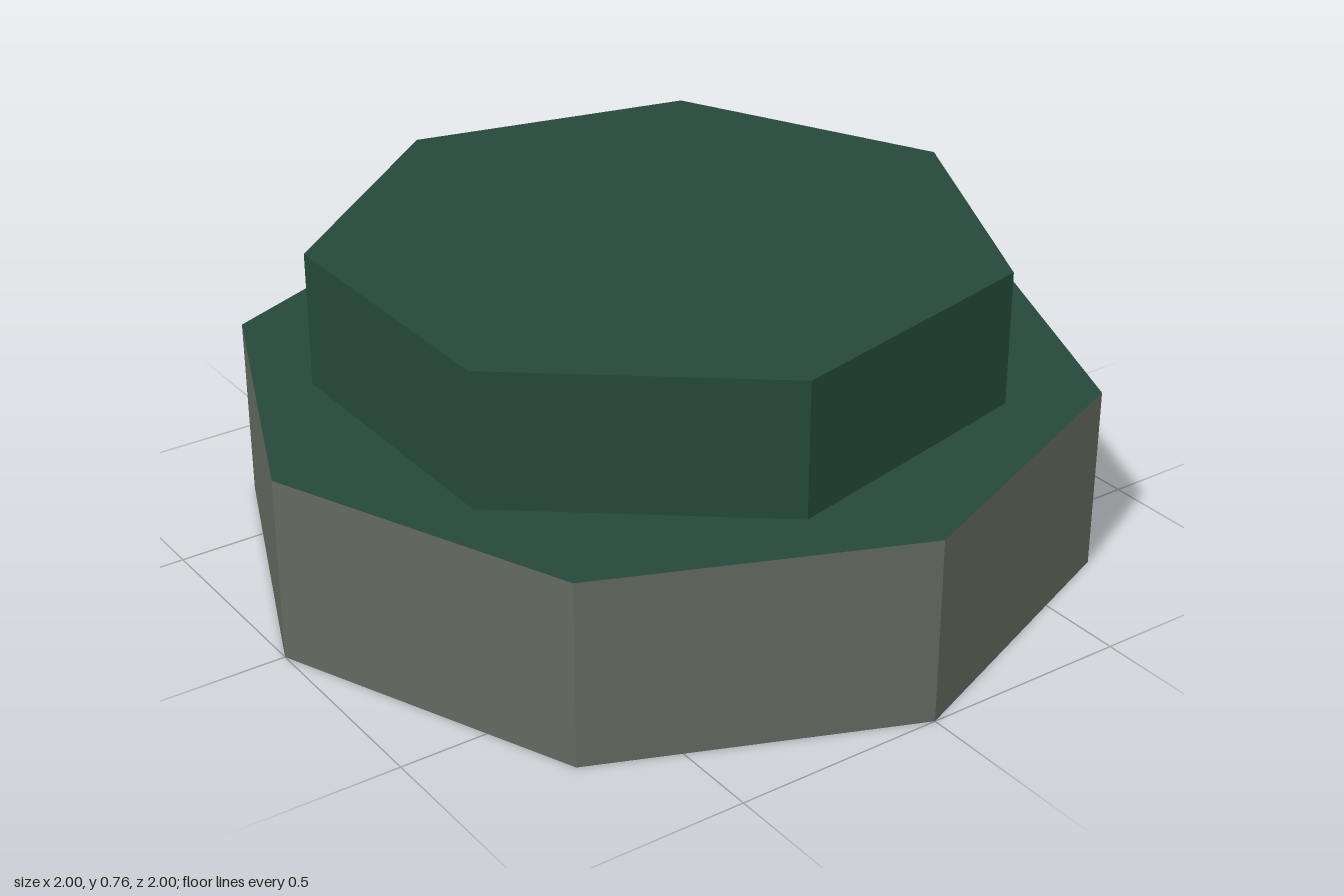
import * as THREE from 'three';

const green = new THREE.MeshStandardMaterial({ color: 0x25483a });
green.name = 'dark green';
const stone = new THREE.MeshStandardMaterial({ color: 0x62685e });
stone.name = 'stone grey';

// Faceted prism with one corner on +x; materials are [side, top, bottom]
function prism(name, radius, sides, y0, y1, materials) {
  const shape = new THREE.CylinderGeometry(radius, radius, y1 - y0, sides, 1, false, Math.PI / 2);
  const geometry = shape.toNonIndexed();
  geometry.computeVertexNormals();
  const mesh = new THREE.Mesh(geometry, materials);
  mesh.name = name;
  mesh.position.y = (y0 + y1) / 2;
  return mesh;
}

export function createModel() {
  const model = new THREE.Group();
  model.name = 'steppedPlatform';
  // Eight-sided stone base with a green top
  model.add(prism('base', 1, 8, 0, 0.44, [stone, green, stone]));
  // Seven-sided green upper tier
  model.add(prism('upperTier', 0.795, 7, 0.44, 0.76, [green, green, green]));
  return model;
}
